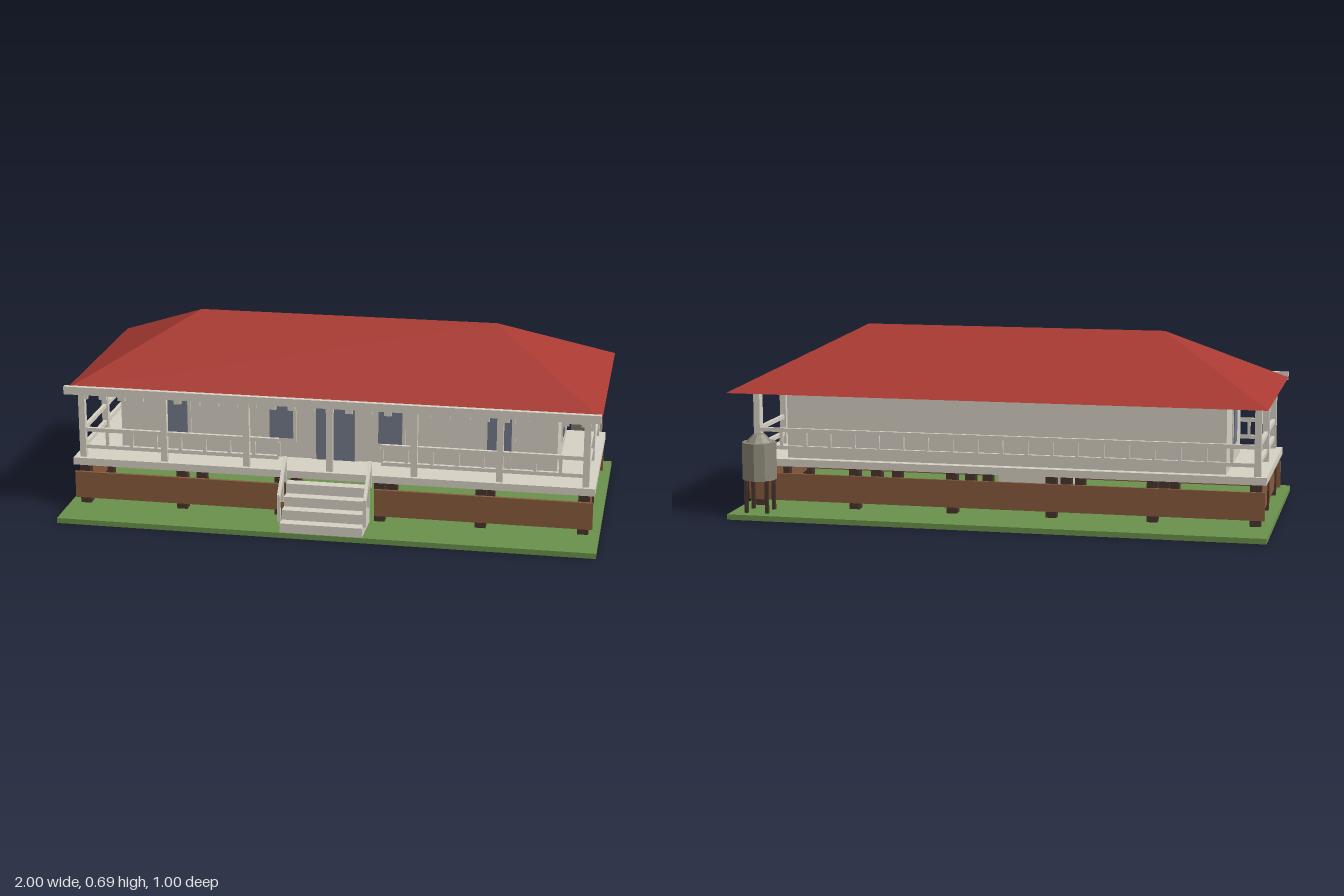
import * as THREE from 'three';

const mat = (name, color) => Object.assign(new THREE.MeshStandardMaterial({ color }), { name });

export function createModel() {
  const root = new THREE.Group();
  root.name = 'raisedVerandaHouse';
  const grass = mat('grass green', 0x6a914b);
  const cream = mat('cream paint', 0xd6d1c4);
  const red = mat('roof red', 0xa83a32);
  const brown = mat('skirting brown', 0x885a3c);
  const dark = mat('stump dark brown', 0x48332b);
  const glass = mat('glass blue grey', 0x747a8a);
  const metal = mat('tank grey', 0x8b8878);

  const group = (name) => {
    const g = new THREE.Group();
    g.name = name;
    root.add(g);
    return g;
  };
  const add = (parent, name, geo, material) => {
    const m = new THREE.Mesh(geo, material);
    m.name = name;
    parent.add(m);
    return m;
  };
  // Box given by its limits on each axis
  const box = (parent, name, material, x0, x1, y0, y1, z0, z1) => {
    const m = add(parent, name, new THREE.BoxGeometry(x1 - x0, y1 - y0, z1 - z0), material);
    m.position.set((x0 + x1) / 2, (y0 + y1) / 2, (z0 + z1) / 2);
    return m;
  };

  box(root, 'ground', grass, -1, 1, 0, 0.02, -0.5, 0.5);

  // Stumps and skirting boards under the floor
  const base = group('base');
  for (let i = 0; i < 6; i++) {
    const x = -0.94 + i * 0.376;
    for (const z of [0.303, 0.006, -0.29]) box(base, 'stump', dark, x - 0.02, x + 0.02, 0.02, 0.176, z - 0.019, z + 0.019);
  }
  box(base, 'backSkirting', brown, -0.975, 0.975, 0.045, 0.148, -0.322, -0.31);
  for (const s of [-1, 1]) {
    const [a, b] = s > 0 ? [0.17, 0.975] : [-0.975, -0.17];
    box(base, 'frontSkirting', brown, a, b, 0.045, 0.148, 0.323, 0.335);
    box(base, 'sideSkirting', brown, s * 0.949 - 0.006, s * 0.949 + 0.006, 0.045, 0.148, -0.272, 0.284);
  }
  box(root, 'deck', cream, -0.98, 0.98, 0.175, 0.203, -0.32, 0.334);

  // House body
  const house = group('house');
  box(house, 'walls', cream, -0.83, 0.83, 0.203, 0.475, -0.286, 0.185);
  for (const x of [-0.615, -0.207, 0.207, 0.615]) {
    box(house, 'windowFrame', cream, x - 0.058, x + 0.058, 0.265, 0.465, 0.185, 0.19);
    box(house, 'windowPane', glass, x - 0.045, x + 0.045, 0.28, 0.45, 0.19, 0.193);
  }
  box(house, 'doorFrame', cream, -0.09, 0.09, 0.203, 0.47, 0.185, 0.19);
  box(house, 'door', glass, -0.073, 0.073, 0.205, 0.457, 0.19, 0.197);
  for (const s of [-1, 1]) {
    const frame = box(house, 'sideWindowFrame', cream, -0.0025, 0.0025, 0.265, 0.465, -0.108, 0.008);
    frame.position.x = s * 0.8325;
    const pane = box(house, 'sideWindowPane', glass, -0.0015, 0.0015, 0.28, 0.45, -0.095, -0.005);
    pane.position.x = s * 0.8365;
  }

  // Veranda posts
  const veranda = group('veranda');
  const post = (x, z, d) => box(veranda, 'verandaPost', cream, x - 0.012, x + 0.012, 0.203, 0.476, z - d / 2, z + d / 2);
  for (let i = 0; i < 7; i++) post(-0.945 + i * 0.315, 0.308, 0.024);
  for (const x of [-0.945, 0.945]) {
    post(x, 0.013, 0.024);
    post(x, -0.288, 0.038);
  }

  // Railings with upright balusters along x
  const railing = (x0, x1, n, z) => {
    box(veranda, 'topRail', cream, x0, x1, 0.303, 0.318, z - 0.007, z + 0.007);
    box(veranda, 'bottomRail', cream, x0, x1, 0.237, 0.251, z - 0.007, z + 0.007);
    for (let i = 0; i <= n; i++) {
      const x = x0 + ((x1 - x0) * i) / n;
      box(veranda, 'baluster', cream, x - 0.006, x + 0.006, 0.251, 0.303, z - 0.005, z + 0.005);
    }
  };
  railing(-0.945, -0.193, 8, 0.308);
  railing(0.193, 0.945, 8, 0.308);
  railing(-0.945, 0.945, 20, -0.298);
  for (const x of [-0.945, 0.945]) {
    for (const y of [0.237, 0.303]) box(veranda, 'sideRail', cream, x - 0.007, x + 0.007, y, y + 0.015, -0.27, 0.297);
  }

  // Row of valance blocks under the front eave
  for (let i = 0; i < 27; i++) {
    const x = -0.936 + i * 0.072;
    box(veranda, 'valanceBlock', cream, x - 0.014, x + 0.014, 0.43, 0.475, 0.302, 0.314);
  }

  // Hipped roof with closed underside
  const W = 0.996, R = 0.57, y0 = 0.475, y1 = 0.695, zf = 0.355, zb = -0.495, zr = -0.067;
  const roofGeo = new THREE.BufferGeometry();
  roofGeo.setAttribute('position', new THREE.Float32BufferAttribute([
    -W, y0, zf, W, y0, zf, W, y0, zb, -W, y0, zb, -R, y1, zr, R, y1, zr,
  ], 3));
  roofGeo.setIndex([0, 1, 5, 0, 5, 4, 1, 2, 5, 2, 3, 4, 2, 4, 5, 3, 0, 4, 0, 3, 2, 0, 2, 1]);
  const roofFlat = roofGeo.toNonIndexed();
  roofFlat.computeVertexNormals();
  add(root, 'roof', roofFlat, red);
  box(root, 'gutter', cream, -0.995, 0.995, 0.465, 0.495, 0.355, 0.374);

  // Front steps and sloping handrails
  const stairs = group('stairs');
  for (let i = 0; i < 4; i++) {
    box(stairs, 'step', cream, -0.153, 0.153, 0.02, 0.055 + i * 0.037, 0.455 - i * 0.0405, 0.495 - i * 0.0405);
  }
  for (const x of [-0.159, 0.159]) {
    for (const [z, a, b] of [[0.475, 0.055, 0.155], [0.414, 0.11, 0.21], [0.355, 0.165, 0.265]]) {
      box(stairs, 'handrailPost', cream, x - 0.006, x + 0.006, a, b, z - 0.005, z + 0.005);
    }
    const rail = add(stairs, 'handrail', new THREE.BoxGeometry(0.012, 0.013, 0.165), cream);
    rail.position.set(x, 0.208, 0.415);
    rail.rotation.x = Math.atan2(0.11, 0.12);
  }

  // Water tank on legs
  const tank = group('waterTank');
  tank.position.set(0.9, 0, -0.412);
  const drum = (name, top, bottom, a, b) => {
    const m = add(tank, name, new THREE.CylinderGeometry(top, bottom, b - a, 10).toNonIndexed(), metal);
    m.geometry.computeVertexNormals();
    m.position.y = (a + b) / 2;
  };
  drum('tankBody', 0.064, 0.064, 0.142, 0.283);
  drum('tankLid', 0.021, 0.05, 0.283, 0.313);
  for (const x of [-0.04, 0.04]) {
    for (const z of [-0.04, 0.04]) box(tank, 'tankLeg', dark, x - 0.0065, x + 0.0065, 0.02, 0.143, z - 0.0065, z + 0.0065);
  }

  return root;
}
